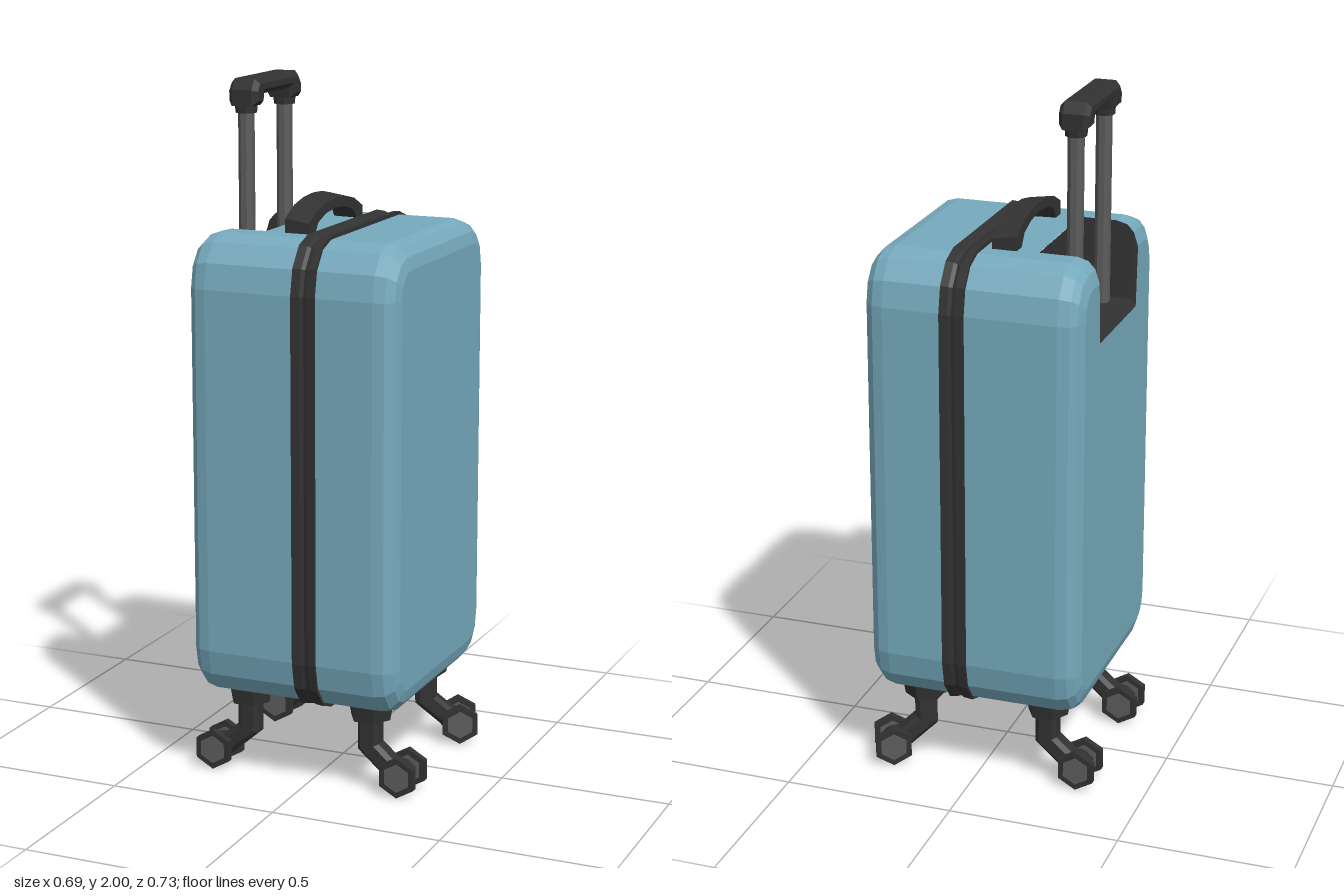
import * as THREE from 'three';

const paint = (color, extra = {}) => new THREE.MeshStandardMaterial({ color, flatShading: true, ...extra });

function add(parent, name, geometry, material, x = 0, y = 0, z = 0) {
  const mesh = new THREE.Mesh(geometry, material);
  mesh.name = name;
  mesh.position.set(x, y, z);
  parent.add(mesh);
  return mesh;
}

// Trolley recess: opening half width, floor half width, floor height
const OPEN = 0.182, BASE = 0.17, FLOOR = 1.36;

// Rounded-rectangle cross-section as [z, y] points; a notch leaves room for the trolley recess
function outline(inset, notchFloor) {
  const rz = 0.112 - inset, ry = 0.145 - 1.3 * inset, top = 1.44 + ry;
  const corners = [[0.245, 1.44], [-0.245, 1.44], [-0.245, 0.395], [0.245, 0.395]];
  const pts = [];
  corners.forEach(([cz, cy], c) => {
    for (let i = 0; i <= 3; i++) {
      const a = (c + i / 3) * Math.PI / 2;
      pts.push([cz + rz * Math.cos(a), cy + ry * Math.sin(a)]);
    }
    if (c === 0 && notchFloor) pts.push([OPEN, top], [BASE, notchFloor], [-BASE, notchFloor], [-OPEN, top]);
  });
  return pts;
}

// Skin between cross-sections ordered by x, with optional flat end caps
function loft(rings, { keep = () => true, capLow = false, capHigh = false } = {}) {
  const pos = [];
  const put = (r, j) => pos.push(r.x, r.pts[j][1], r.pts[j][0]);
  for (let i = 0; i < rings.length - 1; i++) {
    const p = rings[i], q = rings[i + 1], n = p.pts.length;
    for (let j = 0; j < n; j++) {
      if (!keep(j)) continue;
      const k = (j + 1) % n;
      put(p, j); put(q, j); put(q, k);
      put(p, j); put(q, k); put(p, k);
    }
  }
  const cap = (ring, flip) => {
    const contour = ring.pts.map(([z, y]) => new THREE.Vector2(z, y));
    for (const f of THREE.ShapeUtils.triangulateShape(contour, [])) {
      (flip ? [f[0], f[2], f[1]] : f).forEach(j => put(ring, j));
    }
  };
  if (capLow) cap(rings[0], false);
  if (capHigh) cap(rings[rings.length - 1], true);
  const g = new THREE.BufferGeometry();
  g.setAttribute('position', new THREE.Float32BufferAttribute(pos, 3));
  g.computeVertexNormals();
  return g;
}

// Flat outline extruded and centred on its depth axis
function slab(points, depth, bevel = 0) {
  const shape = new THREE.Shape(points.map(([a, b]) => new THREE.Vector2(a, b)));
  const g = new THREE.ExtrudeGeometry(shape, {
    depth: depth - 2 * bevel, bevelEnabled: bevel > 0, bevelThickness: bevel,
    bevelSize: bevel, bevelOffset: -bevel, bevelSegments: 1,
  });
  return g.translate(0, 0, bevel - depth / 2);
}

// Completes a symmetric outline from its right half
const mirrored = half => [...half, ...half.map(([a, b]) => [-a, b]).reverse()];

// Twin-wheel caster with its arm pointing along local +x
function caster(dark, grey) {
  const g = new THREE.Group();
  g.name = 'caster';
  add(g, 'casterMount', new THREE.CylinderGeometry(0.068, 0.06, 0.045, 6).rotateY(Math.PI / 2), dark, 0, 0.235);
  add(g, 'casterArm', slab([
    [-0.032, 0.225], [-0.032, 0.12], [0.06, 0.04], [0.1, 0.028], [0.128, 0.042],
    [0.132, 0.075], [0.11, 0.095], [0.08, 0.1], [0.032, 0.142], [0.032, 0.225],
  ], 0.06, 0.012), dark);
  add(g, 'axle', new THREE.CylinderGeometry(0.015, 0.015, 0.09, 6).rotateX(Math.PI / 2), dark, 0.1, 0.061);
  for (const s of [-1, 1]) {
    add(g, 'wheel', new THREE.CylinderGeometry(0.06, 0.06, 0.02, 6).rotateX(Math.PI / 2), dark, 0.1, 0.061, s * 0.043);
    add(g, 'hub', new THREE.CylinderGeometry(0.042, 0.042, 0.024, 6).rotateX(Math.PI / 2), grey, 0.1, 0.061, s * 0.043);
  }
  return g;
}

export function createModel() {
  const model = new THREE.Group();
  model.name = 'suitcase';
  const blue = paint(0x76aabd), dark = paint(0x323232), grey = paint(0x5c5c5c);
  const lining = paint(0x323232, { side: THREE.DoubleSide });

  // Shell: plain half, and the half notched for the trolley
  const plain = [[-0.155, 0], [0.238, 0], [0.27, 0.007], [0.293, 0.027], [0.302, 0.054]]
    .map(([x, inset]) => ({ x, pts: outline(inset) }));
  const notched = [[-0.328, 0.054, FLOOR - 0.02], [-0.315, 0.023, FLOOR], [-0.296, 0.007, FLOOR], [-0.264, 0, FLOOR], [-0.155, 0, FLOOR]]
    .map(([x, inset, floor]) => ({ x, pts: outline(inset, floor) }));
  const inNotch = j => j >= 4 && j <= 6;
  add(model, 'shellFront', loft(plain, { capHigh: true }), blue);
  add(model, 'shellBack', loft(notched, { keep: j => !inNotch(j), capLow: true }), blue);

  // Recess lining: sides and floor, then the sloping rear wall
  add(model, 'recessLining', loft(notched, { keep: inNotch }), lining);
  const wall = new THREE.BufferGeometry();
  wall.setAttribute('position', new THREE.Float32BufferAttribute([
    -0.156, 1.585, -OPEN, -0.156, 1.585, OPEN, -0.172, FLOOR, BASE, -0.172, FLOOR, -BASE], 3));
  wall.setIndex([0, 2, 1, 0, 3, 2]);
  wall.computeVertexNormals();
  add(model, 'recessWall', wall, lining);

  // Zip band with a shallow groove
  add(model, 'zipBand', loft(
    [[0, 0.01], [0, -0.008], [0.025, -0.006], [0.036, -0.002], [0.047, -0.006], [0.07, -0.008], [0.07, 0.01]]
      .map(([x, inset]) => ({ x, pts: outline(inset) }))), dark);

  // Telescopic trolley handle
  for (const s of [-1, 1]) {
    add(model, 'trolleyTube', new THREE.CylinderGeometry(0.023, 0.023, 0.6, 8).rotateY(Math.PI / 8), grey, -0.24, FLOOR + 0.3, s * 0.127);
    add(model, 'trolleyCollar', new THREE.CylinderGeometry(0.034, 0.03, 0.05, 8).rotateY(Math.PI / 8), dark, -0.24, 1.93, s * 0.127);
  }
  add(model, 'trolleyGrip', slab(mirrored(
    [[0.095, 1.925], [0.158, 1.925], [0.158, 1.97], [0.135, 2], [-0.135, 2], [-0.158, 1.97], [-0.158, 1.925],
      [-0.095, 1.925], [-0.09, 1.955], [0.09, 1.955]].slice(0, 4)).concat([[-0.09, 1.955], [0.09, 1.955]]),
  0.088, 0.014).rotateY(Math.PI / 2), dark, -0.24);

  // Arched carry handle, leaning slightly
  const arch = slab(mirrored([
    [0, 1.64], [0.07, 1.633], [0.125, 1.615], [0.15, 1.58], [0.19, 1.58],
    [0.19, 1.62], [0.128, 1.65], [0.065, 1.663], [0.001, 1.667],
  ]).filter(([a], i) => !(i === 17 && a === 0)), 0.072).rotateY(Math.PI / 2);
  const p = arch.attributes.position;
  for (let i = 0; i < p.count; i++) p.setY(i, p.getY(i) - 0.15 * p.getX(i));
  arch.computeVertexNormals();
  add(model, 'carryHandle', arch, dark, -0.058);

  // Four casters, one swivelled
  for (const [x, z, turn] of [[-0.2, 0.215, Math.PI], [-0.2, -0.215, Math.PI], [0.178, 0.215, 0], [0.178, -0.215, 0.43]]) {
    const c = caster(dark, grey);
    c.position.set(x, 0, z);
    c.rotation.y = turn;
    model.add(c);
  }
  return model;
}
